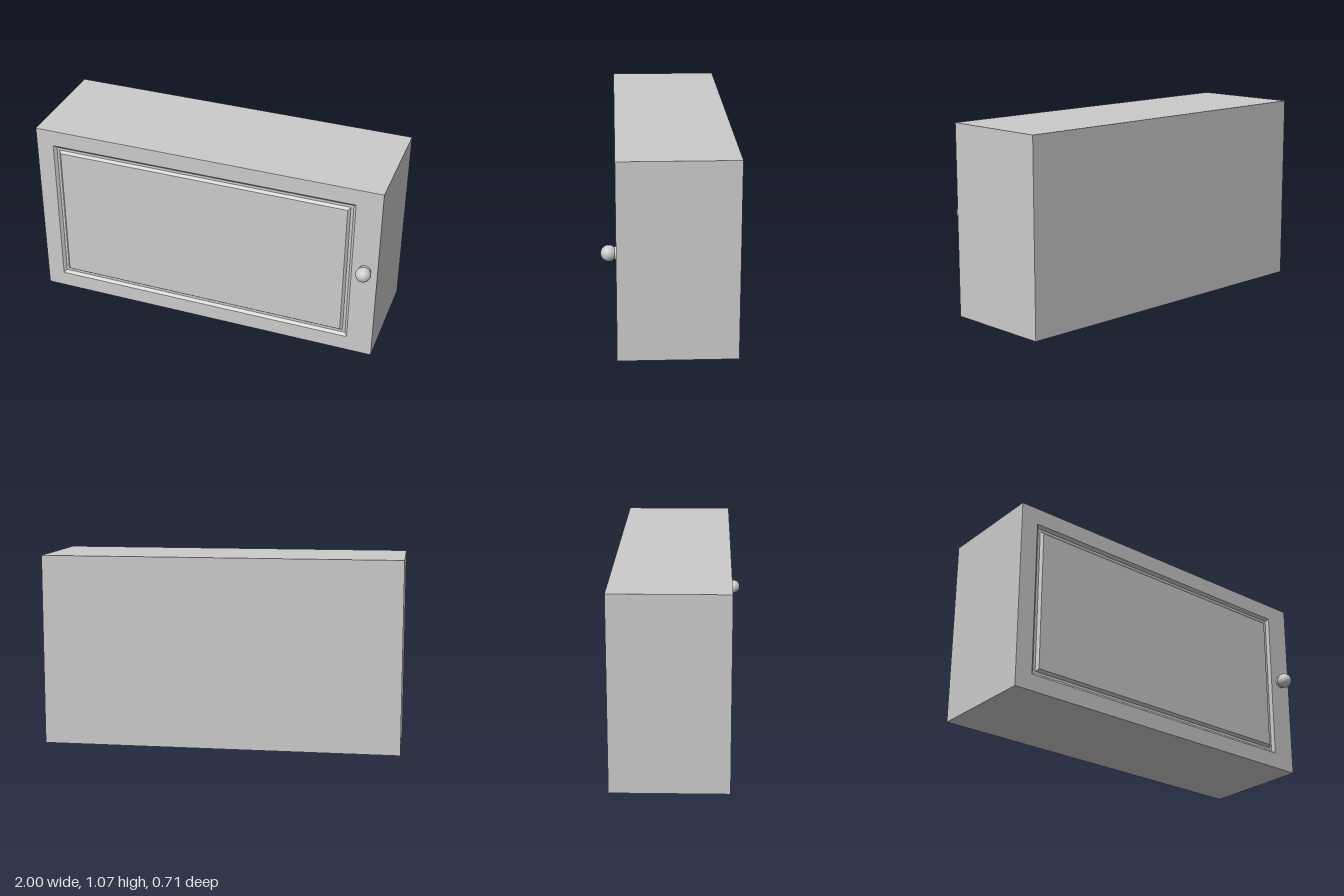
import * as THREE from 'three';

const BACK = -0.353, FRONT = 0.277, HEIGHT = 1.067;
const grey = (extra = {}) => new THREE.MeshStandardMaterial({ color: 0xcccccc, ...extra });

// Closed solid through a series of rectangles [x0, x1, y0, y1, z], capped at both ends
function rectLoft(rects) {
  const positions = [], index = [];
  for (const [x0, x1, y0, y1, z] of rects) {
    positions.push(x0, y0, z, x1, y0, z, x1, y1, z, x0, y1, z);
  }
  index.push(0, 2, 1, 0, 3, 2);
  for (let r = 0; r < rects.length - 1; r++) {
    for (let i = 0; i < 4; i++) {
      const a = r * 4 + i, b = r * 4 + (i + 1) % 4;
      index.push(a, b, b + 4, a, b + 4, a + 4);
    }
  }
  const e = (rects.length - 1) * 4;
  index.push(e, e + 1, e + 2, e, e + 2, e + 3);
  const indexed = new THREE.BufferGeometry();
  indexed.setAttribute('position', new THREE.Float32BufferAttribute(positions, 3));
  indexed.setIndex(index);
  const geometry = indexed.toNonIndexed();
  geometry.computeVertexNormals();
  return geometry;
}

export function createModel() {
  const model = new THREE.Group();
  model.name = 'wallCabinet';

  // Cabinet body, with a bevelled groove framing the flush door panel
  const groove = (inset, depth) =>
    [-0.9 + inset, 0.856 - inset, 0.091 + inset, 0.973 - inset, FRONT - depth];
  const body = new THREE.Mesh(rectLoft([
    [-1, 1, 0, HEIGHT, BACK],
    [-1, 1, 0, HEIGHT, FRONT],
    groove(0, 0),
    groove(0.015, 0.015),
    groove(0.03, 0.015),
    groove(0.043, 0),
  ]), grey({ flatShading: true }));
  body.name = 'cabinetBody';
  model.add(body);

  // Round knob on a short flared neck
  const knob = new THREE.Group();
  knob.name = 'doorKnob';
  knob.position.set(0.93, 0.567, FRONT);

  const neckProfile = [[0.035, 0], [0.0325, 0.004], [0.031, 0.008], [0.03, 0.014]];
  const neck = new THREE.Mesh(
    new THREE.LatheGeometry(neckProfile.map(([r, h]) => new THREE.Vector2(r, h)), 32), grey());
  neck.name = 'knobNeck';
  neck.rotation.x = Math.PI / 2;

  const ball = new THREE.Mesh(new THREE.SphereGeometry(0.042, 32, 20), grey());
  ball.name = 'knobBall';
  ball.position.z = 0.036;

  knob.add(neck, ball);
  model.add(knob);
  return model;
}
